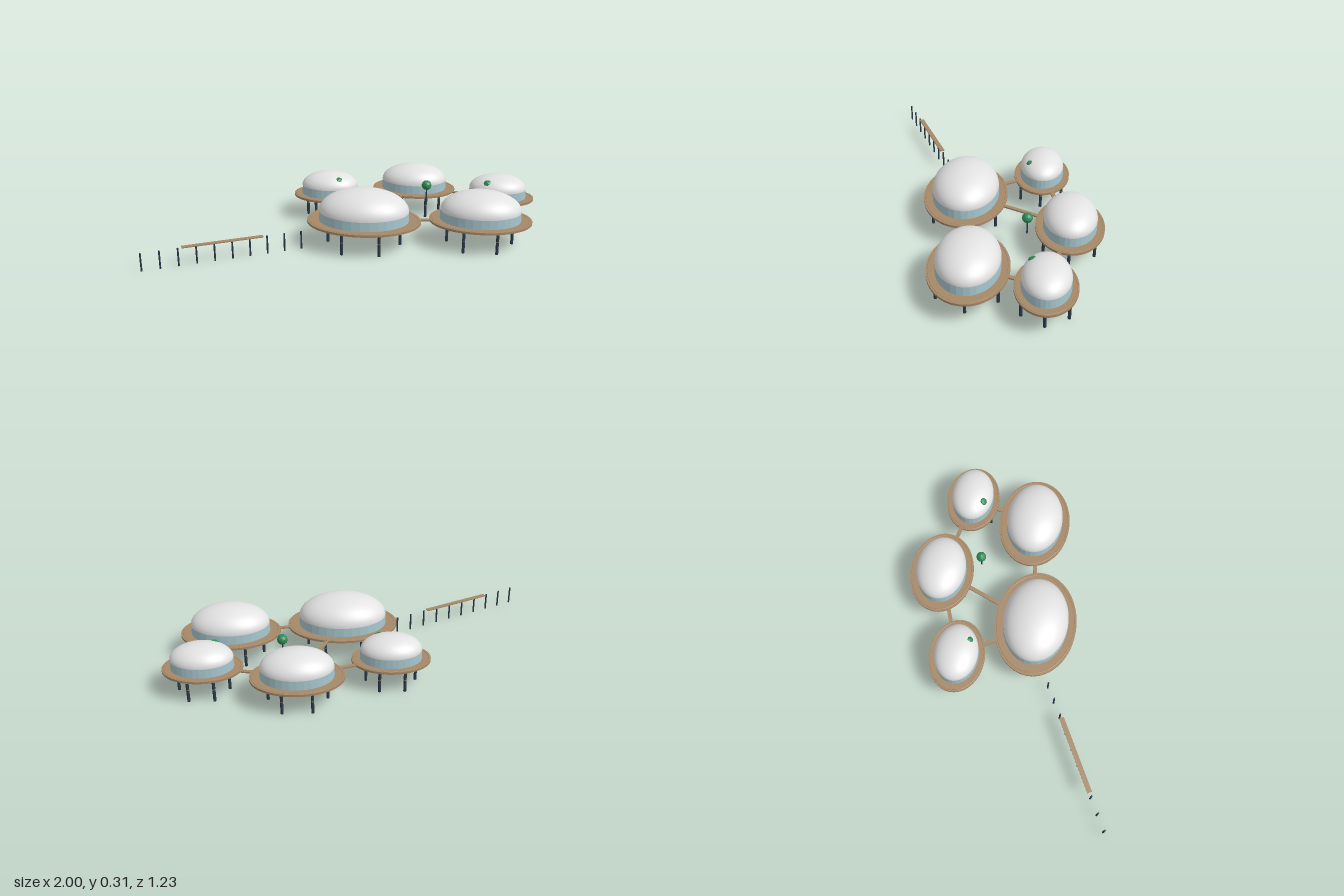
import * as THREE from 'three';

const mat = (name, color, extra = {}) => {
  const m = new THREE.MeshStandardMaterial({ color, ...extra });
  m.name = name;
  return m;
};

export function createModel() {
  const model = new THREE.Group();
  model.name = 'stiltVillage';
  const shell = mat('shell white', 0xe2e2e2);
  const glass = mat('pale blue glass', 0xa6c6cd, { flatShading: true });
  const timber = mat('deck timber', 0xa68868);
  const steel = mat('dark steel', 0x2c3a4a);
  const brass = mat('brass collar', 0xb08a4a);
  const leaf = mat('leaf green', 0x2e8b57, { flatShading: true });

  const add = (parent, name, geo, material, x = 0, y = 0, z = 0) => {
    const mesh = new THREE.Mesh(geo, material);
    mesh.name = name;
    mesh.position.set(x, y, z);
    parent.add(mesh);
    return mesh;
  };

  const SQUASH = 0.742; // depth of each oval compared with its width
  const DECK = 0.137, EAVES = 0.187;

  // x, z, dome radius and deck radius of each pod
  const pods = {
    main: [0.064, 0.124, 0.241, 0.305],
    front: [0.682, 0.044, 0.215, 0.273],
    back: [0.305, -0.44, 0.187, 0.241],
    left: [0.79, -0.332, 0.161, 0.206],
    right: [-0.177, -0.28, 0.161, 0.207],
  };

  for (const [name, [x, z, r, deckR]] of Object.entries(pods)) {
    const pod = new THREE.Group();
    pod.name = name + 'Pod';
    pod.position.set(x, 0, z);
    model.add(pod);

    // Oval deck with a slight kerb
    const deck = new THREE.CylinderGeometry(deckR, deckR, 0.012, 64);
    add(pod, 'deck', deck.scale(1, 1, SQUASH), timber, 0, DECK - 0.006, 0);
    const kerb = new THREE.TorusGeometry(deckR * 0.95, 0.004, 6, 64).rotateX(Math.PI / 2);
    add(pod, 'kerb', kerb.scale(1, 0.7, SQUASH), timber, 0, DECK - 0.001, 0);

    // Window band and roof
    const band = new THREE.CylinderGeometry(r * 0.995, r * 1.005, EAVES - DECK, 32, 1, true);
    add(pod, 'windowBand', band.scale(1, 1, SQUASH), glass, 0, (DECK + EAVES) / 2, 0);
    const dome = new THREE.SphereGeometry(r, 48, 16, 0, Math.PI * 2, 0, Math.PI / 2);
    add(pod, 'domeRoof', dome.scale(1, 0.497, SQUASH), shell, 0, EAVES, 0);

    // Six stilts in a circle
    for (let i = 0; i < 6; i++) {
      const a = (i * Math.PI) / 3;
      const px = Math.cos(a) * r * 0.81, pz = Math.sin(a) * r * 0.81;
      add(pod, 'stilt', new THREE.CylinderGeometry(0.008, 0.008, 0.127, 10), steel, px, 0.0635, pz);
      add(pod, 'stiltCollar', new THREE.CylinderGeometry(0.0085, 0.0085, 0.003, 10), brass, px, 0.069, pz);
    }
  }

  // A flat plank running between two points
  const plank = (name, [x1, z1], [x2, z2], width, thick, y) => {
    const geo = new THREE.BoxGeometry(Math.hypot(x2 - x1, z2 - z1), thick, width);
    const mesh = add(model, name, geo, timber, (x1 + x2) / 2, y, (z1 + z2) / 2);
    mesh.rotation.y = -Math.atan2(z2 - z1, x2 - x1);
  };

  // Bridges between the pods
  const links = [['right', 'back'], ['right', 'main'], ['back', 'main'],
    ['back', 'left'], ['left', 'front'], ['main', 'front']];
  for (const [a, b] of links) plank('bridge', pods[a], pods[b], 0.021, 0.008, 0.131);

  // Jetty walkway on a line of posts
  plank('jettyWalkway', [-0.815, 0.512], [-0.44, 0.325], 0.026, 0.005, 0.0985);
  for (let i = 0; i < 10; i++) {
    const t = i / 9;
    add(model, 'jettyPost', new THREE.CylinderGeometry(0.0048, 0.0048, 0.098, 8), steel,
      -0.995 + t * 0.738, 0.049, 0.608 - t * 0.374);
  }

  // Round trees, one outside and two just breaking through roofs
  for (const [x, z] of [[0.385, -0.223], [0.73, -0.267], [-0.118, -0.22]]) {
    const tree = new THREE.Group();
    tree.name = 'tree';
    tree.position.set(x, 0, z);
    model.add(tree);
    add(tree, 'trunk', new THREE.CylinderGeometry(0.003, 0.004, 0.08, 8), steel, 0, 0.17, 0);
    add(tree, 'crown', new THREE.IcosahedronGeometry(0.028, 1), leaf, 0, 0.224, 0);
  }

  return model;
}
